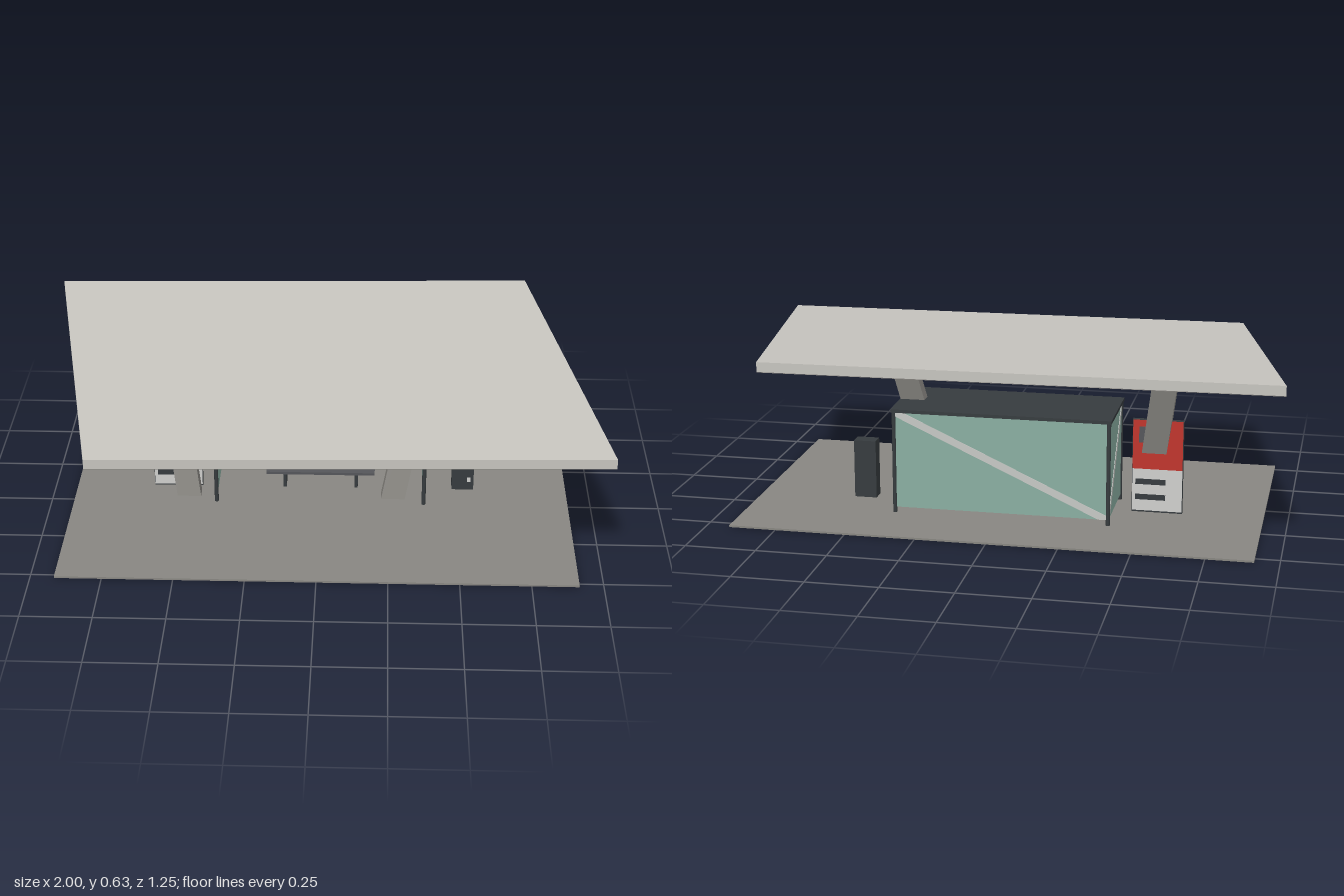
import * as THREE from 'three';

const mat = (name, color, side = THREE.FrontSide) => {
  const m = new THREE.MeshStandardMaterial({ color, side });
  m.name = name;
  return m;
};

export function createModel() {
  const lightConcrete = mat('light concrete', 0xc6c4be);
  const concrete = mat('grey concrete', 0x888681);
  const dark = mat('dark metal', 0x363b3e);
  const glass = mat('green glass', 0x8aaea1);
  const frost = mat('frosted stripe', 0xc6c8c4);
  const blue = mat('blue panel', 0x28457a);
  const red = mat('red panel', 0xc0342c);
  const white = mat('white panel', 0xcfcfcd);
  const seatGrey = mat('seat grey', 0x55565a);

  const model = new THREE.Group();
  model.name = 'busShelter';
  const group = (name) => {
    const g = new THREE.Group();
    g.name = name;
    model.add(g);
    return g;
  };
  const add = (parent, name, geo, material, x = 0, y = 0, z = 0) => {
    const m = new THREE.Mesh(geo, material);
    m.name = name;
    m.position.set(x, y, z);
    parent.add(m);
    return m;
  };
  // Box given by its lower and upper limits
  const box = (parent, name, material, [x0, x1], [y0, y1], [z0, z1]) =>
    add(parent, name, new THREE.BoxGeometry(x1 - x0, y1 - y0, z1 - z0), material,
      (x0 + x1) / 2, (y0 + y1) / 2, (z0 + z1) / 2);
  // Lean a geometry by moving its vertices
  const warp = (geo, rule) => {
    const p = geo.attributes.position;
    for (let i = 0; i < p.count; i++) {
      p.setXYZ(i, ...rule(p.getX(i), p.getY(i), p.getZ(i)));
    }
    geo.computeVertexNormals();
    return geo;
  };

  // Pavement
  box(model, 'pavement', concrete, [-0.915, 0.915], [0.002, 0.009], [-0.545, 0.522]);

  // Skewed canopy, sloping down to the front, with a darker soffit
  const corners = [[-1, -0.576], [-0.766, 0.622], [1, 0.572], [0.764, -0.627]];
  const outline = new THREE.Shape(corners.map(([x, z]) => new THREE.Vector2(x, -z)));
  const canopySlab = (name, y, depth, material) => {
    const geo = new THREE.ExtrudeGeometry(outline, { depth, bevelEnabled: false });
    geo.rotateX(-Math.PI / 2);
    add(model, name, warp(geo, (px, py, pz) => [px, py + y - 0.066 * pz, pz]), material);
  };
  canopySlab('canopy', 0.551, 0.034, lightConcrete);
  canopySlab('canopySoffit', 0.549, 0.002, concrete);

  // Leaning columns
  for (const [name, x, lean] of [['rightColumn', -0.489, -0.147], ['leftColumn', 0.267, 0.204]]) {
    const h = 0.568;
    const geo = new THREE.BoxGeometry(0.088, h, 0.046).translate(0, h / 2, 0);
    add(model, name, warp(geo, (px, py, pz) => [px + lean * py, py, pz - 0.233 * py]),
      concrete, x, 0.001, -0.043);
  }

  // Glazed shelter: posts, top and three panes, each with a diagonal stripe
  const shelter = group('shelter');
  for (const x of [-0.385, 0.382]) {
    for (const z of [0.007, -0.288]) {
      add(shelter, 'post', new THREE.CylinderGeometry(0.0075, 0.0075, 0.385, 12), dark, x, 0.1925, z);
    }
  }
  box(shelter, 'shelterTop', dark, [-0.395, 0.391], [0.379, 0.391], [-0.298, 0.018]);

  const pane = (name, w, x, z, turn) => {
    const h = 0.35;
    const g = new THREE.Group();
    g.name = name;
    g.position.set(x, 0.204, z);
    g.rotation.y = turn;
    shelter.add(g);
    add(g, 'glass', new THREE.BoxGeometry(w, h, 0.005), glass);
    const diagonal = Math.hypot(w, h);
    const s = 0.013 * diagonal / h;
    const t = 0.013 * diagonal / w;
    const a = w / 2, b = h / 2;
    const stripe = new THREE.Shape([[-a, -b], [-a + s, -b], [a, b - t], [a, b], [a - s, b], [-a, -b + t]]
      .map(([u, v]) => new THREE.Vector2(u, v)));
    const geo = new THREE.ExtrudeGeometry(stripe, { depth: 0.008, bevelEnabled: false });
    add(g, 'stripe', geo, frost, 0, 0, -0.004);
  };
  pane('backPane', 0.76, -0.0015, -0.288, 0);
  pane('leftPane', 0.29, 0.382, -0.14, -Math.PI / 2);
  pane('rightPane', 0.29, -0.385, -0.14, -Math.PI / 2);

  // Bench with slatted seat
  const bench = group('bench');
  for (let i = 0; i < 3; i++) {
    const z = -0.19 + i * 0.036;
    box(bench, 'seatSlat', seatGrey, [-0.205, 0.2], [0.07, 0.08], [z, z + 0.031]);
  }
  for (const x of [-0.136, 0.131]) {
    box(bench, 'benchLeg', dark, [x - 0.006, x + 0.006], [0, 0.071], [-0.178, -0.1]);
  }

  // Free-standing notice board with a face on both sides
  const board = group('noticeBoard');
  box(board, 'boardCore', dark, [-0.626, -0.445], [0.009, 0.351], [-0.117, -0.099]);
  const face = (name, z, turn, upper) => {
    const g = new THREE.Group();
    g.name = name;
    g.position.set(-0.5355, 0, z);
    g.rotation.y = turn;
    board.add(g);
    box(g, 'upperPanel', upper, [-0.089, 0.089], [0.17, 0.35], [0, 0.002]);
    box(g, 'lowerPanel', white, [-0.089, 0.089], [0.015, 0.17], [0, 0.002]);
    for (const y of [0.123, 0.066]) {
      box(g, 'textBar', dark, [-0.078, 0.03], [y - 0.01, y + 0.01], [0.002, 0.004]);
    }
    return g;
  };
  const front = face('boardFront', -0.099, 0, blue);
  add(front, 'redDisc', new THREE.CircleGeometry(0.04, 24), red, 0.034, 0.246, 0.004);
  const back = face('boardBack', -0.117, Math.PI, red);
  box(back, 'picture', seatGrey, [-0.067, 0.033], [0.268, 0.326], [0.002, 0.004]);

  // Small ticket machine
  const machine = group('ticketMachine');
  box(machine, 'machineBody', dark, [0.489, 0.57], [0.009, 0.223], [-0.15, -0.099]);
  box(machine, 'machineScreen', blue, [0.493, 0.566], [0.122, 0.217], [-0.099, -0.097]);
  box(machine, 'screenLine', white, [0.499, 0.562], [0.183, 0.19], [-0.097, -0.095]);
  box(machine, 'cardSlot', white, [0.546, 0.559], [0.044, 0.062], [-0.099, -0.097]);

  return model;
}
